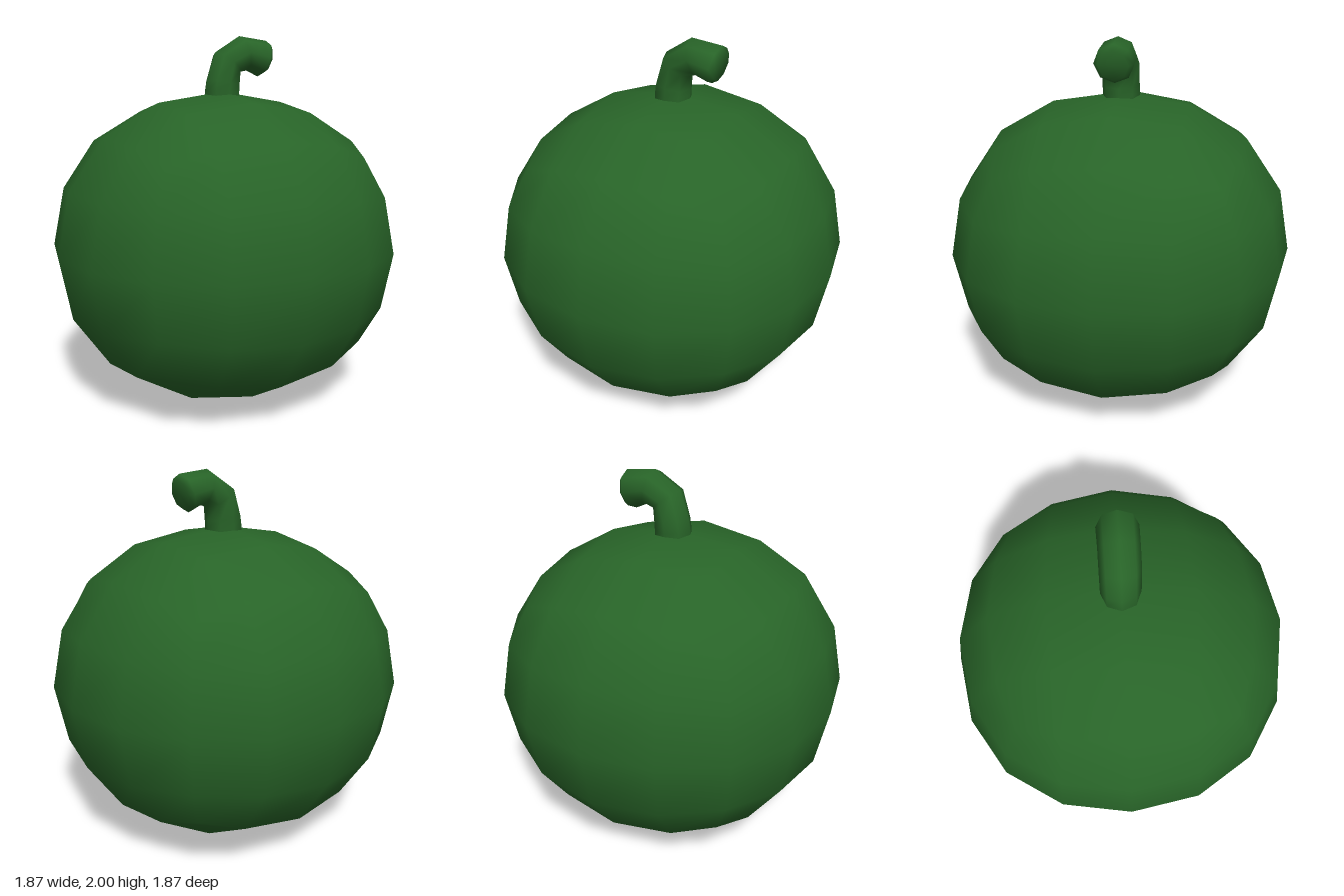
import * as THREE from 'three';
import { mergeVertices } from 'three/addons/utils/BufferGeometryUtils.js';

const green = new THREE.MeshStandardMaterial({ color: 0x286428 });
green.name = 'deep green';

// Rounded cube: each grid corner of a 4x4x4 box moves to its place on a softly swollen ball.
// Keys are the sorted distances from the centre in half cells; values are the new distances.
const BALL = {
  '0,0,2': [0, 0.937],
  '0,1,2': [0, 0.372, 0.873],
  '0,2,2': [0, 0.679],
  '1,1,2': [0.3525, 0.813],
  '1,2,2': [0.331, 0.639],
  '2,2,2': [0.558],
};

function bodyGeometry() {
  let geo = new THREE.BoxGeometry(4, 4, 4, 4, 4, 4);
  geo.deleteAttribute('normal');
  geo.deleteAttribute('uv');
  geo = mergeVertices(geo);
  const pos = geo.attributes.position;
  for (let i = 0; i < pos.count; i++) {
    const p = [pos.getX(i), pos.getY(i), pos.getZ(i)].map(Math.round);
    const steps = p.map(Math.abs).sort();
    const levels = [...new Set(steps)];
    const radii = BALL[steps.join()];
    const [x, y, z] = p.map((c) => Math.sign(c) * radii[levels.indexOf(Math.abs(c))]);
    pos.setXYZ(i, x, y * 0.905, z);
  }
  geo.computeVertexNormals();
  return geo;
}

// Stem rings: outer x, y, inner x, y, half width in z
const RINGS = [
  [-0.1, 1.6, 0.1, 1.6, 0.1],
  [-0.1, 1.7, 0.1, 1.7, 0.1],
  [-0.09, 1.76, 0.1, 1.73, 0.1],
  [-0.04, 1.91, 0.1, 1.805, 0.1],
  [0.105, 2.0, 0.15, 1.815, 0.1],
  [0.275, 1.98, 0.222, 1.783, 0.103],
  [0.292, 1.95, 0.255, 1.8, 0.078],
  [0.274, 1.875, 0.274, 1.875, 0],
];

function stemGeometry(sides = 8) {
  const points = [];
  const index = [];
  RINGS.forEach(([ox, oy, ix, iy, half], r) => {
    for (let j = 0; j < sides; j++) {
      const a = (j / sides) * Math.PI * 2;
      const c = Math.cos(a) / 2;
      points.push((ox + ix) / 2 + (ox - ix) * c, (oy + iy) / 2 + (oy - iy) * c, half * Math.sin(a));
      if (r === 0) continue;
      const k = (j + 1) % sides;
      const low = (r - 1) * sides;
      const high = r * sides;
      index.push(low + j, low + k, high + k);
      if (half > 0) index.push(low + j, high + k, high + j);
    }
  });
  let geo = new THREE.BufferGeometry();
  geo.setAttribute('position', new THREE.Float32BufferAttribute(points, 3));
  geo.setIndex(index);
  geo = mergeVertices(geo);
  geo.computeVertexNormals();
  return geo;
}

export function createModel() {
  const group = new THREE.Group();
  group.name = 'roundFruit';

  const body = new THREE.Mesh(bodyGeometry(), green);
  body.name = 'body';
  body.position.y = 0.851;
  group.add(body);

  const stem = new THREE.Mesh(stemGeometry(), green);
  stem.name = 'stem';
  group.add(stem);

  return group;
}
